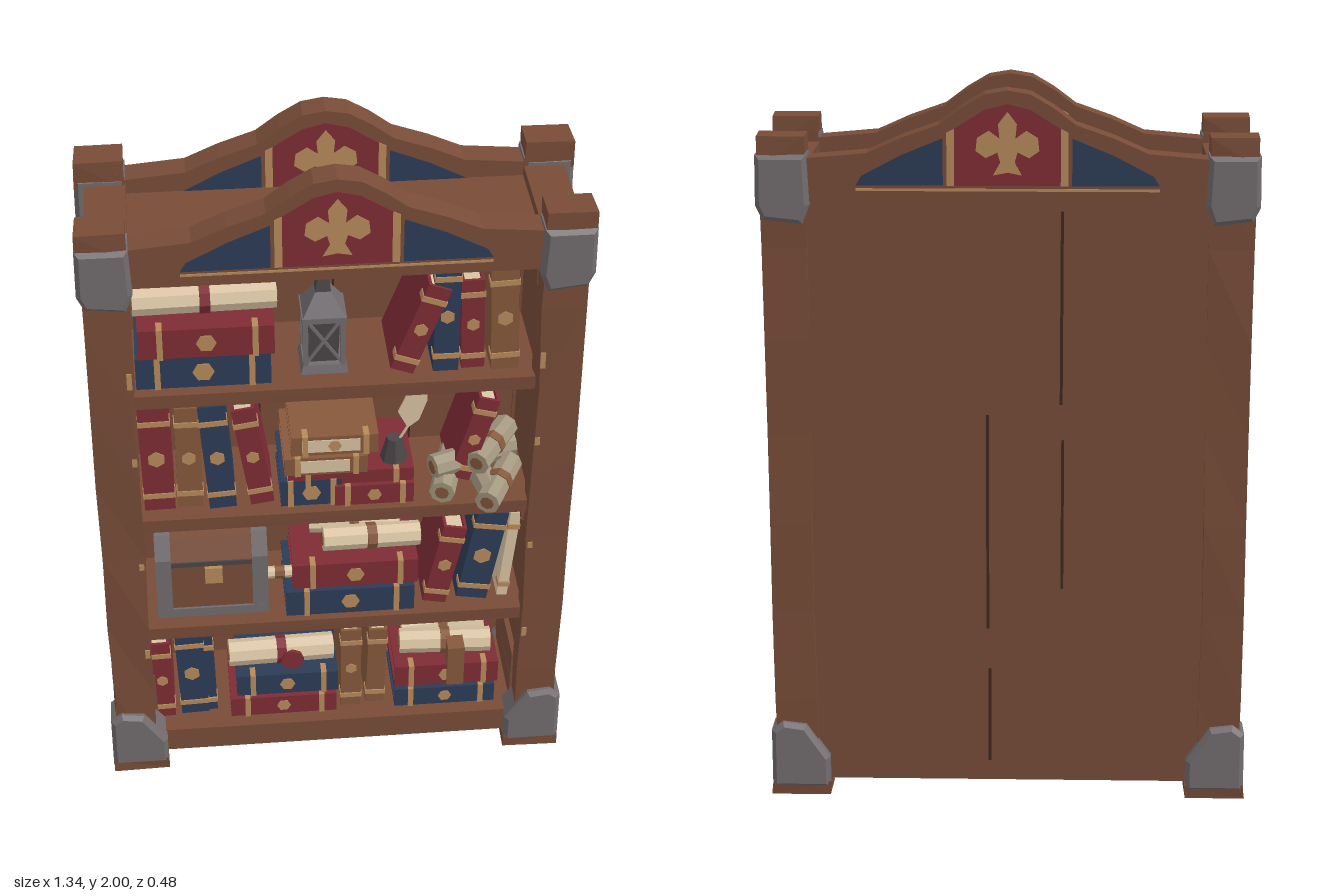
import * as THREE from 'three';

const mat = (name, color) => { const m = new THREE.MeshStandardMaterial({ color }); m.name = name; return m; };

export function createModel() {
  const wood = mat('wood', 0x784c38), darkWood = mat('dark wood', 0x3e271d), leather = mat('leather', 0x86593c);
  const red = mat('red', 0x7f2c35), blue = mat('blue', 0x2c3c56), gold = mat('gold', 0xb78a5b);
  const cream = mat('cream', 0xd9c4a3), aged = mat('aged paper', 0xa3977f);
  const metal = mat('metal', 0x726c6f), iron = mat('iron', 0x4b4647);
  const root = new THREE.Group();
  root.name = 'bookcase';

  // helpers
  const group = (name, parent = root) => { const g = new THREE.Group(); g.name = name; parent.add(g); return g; };
  const flat = (g) => { const f = g.index ? g.toNonIndexed() : g; f.computeVertexNormals(); return f; };
  const add = (p, name, geo, m, x = 0, y = 0, z = 0, rz = 0) => {
    const mesh = new THREE.Mesh(geo, m);
    mesh.name = name; mesh.position.set(x, y, z); mesh.rotation.z = rz;
    p.add(mesh);
    return mesh;
  };
  const box = (p, name, m, w, h, d, x, y, z, rz) => add(p, name, new THREE.BoxGeometry(w, h, d), m, x, y, z, rz);
  const span = (p, name, m, x0, x1, y0, y1, z0, z1) =>
    box(p, name, m, x1 - x0, y1 - y0, z1 - z0, (x0 + x1) / 2, (y0 + y1) / 2, (z0 + z1) / 2);
  const shape = (pts) => new THREE.Shape(pts.map(([x, y]) => new THREE.Vector2(x, y)));
  const plate = (pts, depth = 0.004) => new THREE.ExtrudeGeometry(shape(pts), { depth, bevelEnabled: false });
  const mirrored = (pts) => [...pts, ...pts.slice().reverse().filter(([x]) => x !== 0).map(([x, y]) => [-x, y])];

  // hand-hewn beam: each vertex is nudged by a hash of its position
  const hewn = (p, name, m, x0, x1, y0, y1, z0, z1, amt = 0.004) => {
    const g = new THREE.BoxGeometry(x1 - x0, y1 - y0, z1 - z0, 1, Math.ceil((y1 - y0) / 0.3), 1);
    const a = g.attributes.position;
    const hash = (x, y, z, k) => { const s = Math.sin(x * 91.7 + y * 47.3 + z * 71.9 + k + x0 * 13) * 4375.5; return (s - Math.floor(s) - 0.5) * 2 * amt; };
    for (let i = 0; i < a.count; i++) {
      const x = a.getX(i), y = a.getY(i), z = a.getZ(i);
      a.setXYZ(i, x + hash(x, y, z, 1), y, z + hash(x, y, z, 2));
    }
    return add(p, name, flat(g), m, (x0 + x1) / 2, (y0 + y1) / 2, (z0 + z1) / 2);
  };

  // carcass
  const frame = group('frame');
  span(frame, 'topBoard', wood, -0.56, 0.56, 1.71, 1.78, -0.2, 0.185);
  span(frame, 'base', wood, -0.6, 0.6, 0.04, 0.12, -0.2, 0.195);
  span(frame, 'backPanel', wood, -0.56, 0.56, 0.1, 1.75, -0.2, -0.14);
  for (const y of [0.51, 0.912, 1.34]) hewn(frame, 'shelf', wood, -0.56, 0.56, y - 0.042, y, -0.15, 0.175, 0.003);
  for (const [x, y0, y1] of [[0.05, 0.1, 0.38], [0.055, 0.5, 1.12], [-0.15, 0.62, 1.05], [-0.145, 1.15, 1.68]])
    span(frame, 'plankGap', darkWood, x - 0.004, x + 0.004, y0, y1, -0.203, -0.199);
  for (const x of [-0.19, 0.02, 0.24]) span(frame, 'innerPlankGap', darkWood, x - 0.003, x + 0.003, 0.12, 1.7, -0.141, -0.138);

  // painted flower emblem, unit height about its centre
  const flower = mirrored([[0, 0.5], [0.13, 0.33], [0.11, 0.13], [0.26, 0.24], [0.42, 0.14], [0.44, -0.04], [0.3, -0.14],
    [0.14, -0.06], [0.1, -0.2], [0.2, -0.38], [0, -0.34]]);
  const emblem = (s) => plate(flower.map(([x, y]) => [x * s, y * s]), 0.003);

  // side walls, built on +x and mirrored
  const panels = [
    { y0: 0.91, y1: 1.61, tip: 1.31, inner: -0.085, hi: 1.535, lo: 0.985 },
    { y0: 0.29, y1: 0.81, tip: 0.59, inner: -0.07, hi: 0.76, lo: 0.38 },
  ];
  for (const s of [1, -1]) {
    const side = group(s > 0 ? 'leftSide' : 'rightSide');
    side.scale.x = s;
    span(side, 'wall', wood, 0.545, 0.612, 0.1, 1.75, -0.2, 0.18);
    for (const [y0, y1] of [[0.05, 0.2], [0.2, 0.29], [0.81, 0.91], [1.61, 1.69], [1.69, 1.81]])
      hewn(side, 'rail', wood, 0.53, y1 - y0 > 0.11 ? 0.637 : 0.63, y0, y1, -0.14, 0.14, 0.002);
    for (const p of panels) {
      const paint = (name, m, pts, x) => add(side, name, plate(pts).rotateY(Math.PI / 2), m, x);
      paint('bluePanel', blue, [[-0.13, p.y0], [0.13, p.y0], [0.13, p.y1], [-0.13, p.y1]], 0.611);
      paint('redPanel', red, [[0.13, p.hi], [p.inner, p.tip], [0.13, p.lo]], 0.613);
      paint('goldBand', gold, [[-0.13, p.tip + 0.03], [0.11, p.y1], [0.13, p.y1], [0.13, p.hi], [p.inner, p.tip],
        [0.13, p.lo], [0.13, p.y0], [0.115, p.y0], [-0.13, p.tip - 0.03]], 0.615);
    }
    add(side, 'sideEmblem', emblem(0.19).rotateY(Math.PI / 2), gold, 0.617, 1.27, -0.02);

    // posts with metal corner guards, wooden caps and feet
    for (const f of [1, -1]) {
      const z = (a, b) => (f > 0 ? [a, b] : [-b, -a]);
      hewn(side, 'post', wood, 0.537, 0.652, 0.03, 1.84, ...z(0.13, 0.212), 0.005);
      hewn(side, 'postCap', wood, 0.53, 0.66, 1.8, 1.88, ...z(0.13, 0.222));
      hewn(side, 'foot', wood, 0.503, 0.667, 0, 0.04, ...z(0.128, 0.23));
      const guard = (name, pts) => {
        const g = new THREE.ExtrudeGeometry(shape(pts), { depth: 0.082, bevelSize: 0.012, bevelThickness: 0.012, bevelSegments: 1 });
        add(side, name, flat(g), metal, 0, 0, z(0.14, 0.222)[0]);
      };
      guard('topGuard', [[0.55, 1.66], [0.64, 1.67], [0.654, 1.7], [0.652, 1.82], [0.54, 1.82], [0.535, 1.7]]);
      guard('bottomGuard', [[0.515, 0.035], [0.655, 0.035], [0.654, 0.19], [0.63, 0.208], [0.575, 0.2], [0.515, 0.11]]);
    }
    for (const [y, h] of [[0.45, 0.03], [0.78, 0.02], [1.15, 0.025], [1.42, 0.05]])
      box(side, 'wornEdge', gold, 0.014, h, 0.004, 0.546, y, 0.215);
  }

  // arched crests, painted on both faces
  const crestOutline = mirrored([[0, 2], [0.06, 1.99], [0.12, 1.955], [0.18, 1.91], [0.28, 1.875], [0.37, 1.835], [0.54, 1.82], [0.54, 1.705]]);
  for (const [cz, name] of [[0.168, 'frontCrest'], [-0.173, 'backCrest']]) {
    const crest = group(name);
    crest.position.z = cz;
    add(crest, 'arch', plate(crestOutline, 0.076), wood, 0, 0, -0.038);
    for (const turn of [0, Math.PI]) {
      const face = group('crestPaint', crest);
      face.rotation.y = turn;
      add(face, 'redField', plate(mirrored([[0, 1.965], [0.06, 1.95], [0.14, 1.9], [0.14, 1.75]])), red, 0, 0, 0.036);
      for (const s of [1, -1]) {
        add(face, 'goldStripe', plate([[s * 0.14, 1.75], [s * 0.16, 1.75], [s * 0.16, 1.89], [s * 0.14, 1.9]]), gold, 0, 0, 0.037);
        add(face, 'blueField', plate([[s * 0.17, 1.75], [s * 0.4, 1.75], [s * 0.385, 1.775], [s * 0.28, 1.83], [s * 0.17, 1.875]]), blue, 0, 0, 0.036);
      }
      add(face, 'crestEmblem', emblem(0.19), gold, 0, 1.85, 0.039);
      span(face, 'goldTrim', gold, -0.4, 0.4, 1.735, 1.742, 0.036, 0.04);
    }
  }

  // books: spine faces +z, origin at the bottom centre
  const book = (name, m, w, h, d, x, y, z, rz, trim = gold) => {
    const b = group(name), t = Math.min(0.009, w * 0.15);
    b.position.set(x, y, z); b.rotation.z = rz;
    for (const s of [1, -1]) box(b, 'cover', m, t, h, d, s * (w - t) / 2, h / 2, 0);
    box(b, 'spine', m, w, h, t, 0, h / 2, d / 2);
    box(b, 'pages', cream, w - 2 * t, h - 0.02, d - 0.01, 0, h / 2, -0.003);
    for (const k of [0.14, 0.84]) box(b, 'band', trim, w + 0.005, 0.016, 0.04, 0, h * k, d / 2 - 0.012);
    if (w > 0.058) add(b, 'spineEmblem', new THREE.CylinderGeometry(w * 0.3, w * 0.3, 0.004, 6).rotateX(Math.PI / 2), trim, 0, h / 2, d / 2 + 0.006);
    return b;
  };
  // standing: centre x, shelf y, width, height, lean to the right
  const standing = [
    [red, 0.18, 1.34, 0.065, 0.28, 0.36], [blue, 0.3, 1.34, 0.068, 0.35, 0], [red, 0.375, 1.34, 0.062, 0.28, -0.03], [leather, 0.46, 1.34, 0.075, 0.33, -0.04],
    [red, -0.485, 0.912, 0.085, 0.355, -0.02], [leather, -0.4, 0.912, 0.07, 0.34, 0], [blue, -0.31, 0.912, 0.075, 0.35, -0.07], [red, -0.2, 0.912, 0.065, 0.33, -0.15], [red, 0.35, 0.95, 0.06, 0.28, 0.28],
    [red, 0.29, 0.51, 0.068, 0.28, 0.2], [blue, 0.4, 0.51, 0.09, 0.32, 0.17], [cream, 0.492, 0.51, 0.03, 0.31, 0.09],
    [red, -0.505, 0.12, 0.06, 0.29, -0.03], [blue, -0.415, 0.12, 0.082, 0.32, -0.04], [blue, -0.363, 0.12, 0.028, 0.3, -0.03], [leather, 0.05, 0.12, 0.06, 0.3, 0], [leather, 0.122, 0.12, 0.055, 0.29, 0.03],
  ];
  standing.forEach(([m, x, y, w, h, lean], i) =>
    book('standingBook', m, w, h, 0.22 - (i % 3) * 0.015, x, y + Math.abs(Math.sin(lean)) * w / 2, 0.02, -lean));
  // stacked flat: x range, y range
  const lying = [
    [blue, -0.53, -0.17, 1.342, 1.44], [red, -0.52, -0.16, 1.445, 1.535],
    [blue, -0.15, 0.02, 0.914, 1.0], [red, 0.0, 0.22, 0.914, 0.98], [red, -0.13, 0.22, 0.982, 1.025], [leather, -0.14, 0.09, 1.028, 1.085], [leather, -0.12, 0.12, 1.088, 1.15],
    [blue, -0.14, 0.23, 0.512, 0.6], [red, -0.12, 0.24, 0.605, 0.69],
    [red, -0.31, 0.005, 0.122, 0.19], [blue, -0.29, 0.01, 0.195, 0.27], [blue, 0.18, 0.48, 0.122, 0.188], [red, 0.18, 0.49, 0.192, 0.27],
  ];
  lying.forEach(([m, x0, x1, y0, y1], i) => {
    const b = book('stackedBook', m, y1 - y0, x1 - x0, 0.23, x1, (y0 + y1) / 2, 0.025 + (i % 2) * 0.01, Math.PI / 2);
    if (m === leather) span(b, 'foreEdge', cream, -0.02, 0.02, 0.05, x1 - x0 - 0.03, 0.115, 0.122);
  });

  // rolled scrolls tied with a band
  const scroll = (x, y, z, r, len, m, band, ry = 0, rz = 0) => {
    const g = group('scroll');
    g.position.set(x, y, z); g.rotation.set(0, ry, rz);
    const tube = (name, rad, l, mm) => add(g, name, flat(new THREE.CylinderGeometry(rad, rad, l, 8).rotateZ(Math.PI / 2)), mm);
    tube('roll', r, len, m); tube('rollCore', r * 0.55, len + 0.006, leather); tube('tie', r * 1.08, 0.028, band);
    return g;
  };
  scroll(-0.34, 1.578, 0.07, 0.04, 0.38, cream, red, 0.05, -0.02);
  scroll(-0.33, 1.57, -0.03, 0.034, 0.34, cream, red, -0.08);
  scroll(0.11, 0.735, 0.08, 0.036, 0.28, cream, leather, 0.06, -0.04);
  scroll(0.07, 0.72, 0, 0.03, 0.26, cream, leather, -0.1);
  scroll(-0.155, 0.635, 0.1, 0.018, 0.07, cream, leather);
  const sealed = scroll(-0.155, 0.315, 0.08, 0.04, 0.31, cream, red, 0.05, -0.02);
  add(sealed, 'waxSeal', new THREE.CylinderGeometry(0.034, 0.034, 0.012, 8).rotateX(Math.PI / 2), red, 0.03, -0.005, 0.045);
  scroll(0.335, 0.312, 0.08, 0.037, 0.27, cream, leather, -0.05);
  scroll(0.335, 0.305, 0, 0.034, 0.25, cream, leather, 0.08);
  span(root, 'strap', leather, 0.335, 0.385, 0.2, 0.345, 0.1, 0.158);
  // heap of old scrolls
  for (const [x, y, z, ry, len] of [[0.33, 0.952, 0.05, 1.3, 0.25], [0.41, 0.952, 0.06, 1.75, 0.26], [0.46, 0.955, 0.14, 1.1, 0.2],
    [0.37, 1.0, 0.08, 0.35, 0.2], [0.45, 1.02, 0.05, 1.0, 0.2], [0.47, 0.95, -0.03, 0.2, 0.12]])
    scroll(x, y, z, 0.036, len, aged, leather, ry);

  // lantern
  const lantern = group('lantern');
  lantern.position.set(-0.025, 1.34, 0.05);
  const frustum = (name, r0, r1, h, y, m) => add(lantern, name, flat(new THREE.CylinderGeometry(r1, r0, h, 4).rotateY(Math.PI / 4)), m, 0, y + h / 2, 0);
  frustum('lanternFoot', 0.09, 0.08, 0.025, 0, metal);
  frustum('glass', 0.055, 0.06, 0.14, 0.025, iron);
  frustum('lanternRim', 0.085, 0.085, 0.016, 0.16, metal);
  frustum('lanternRoof', 0.08, 0.03, 0.06, 0.176, metal);
  frustum('lanternCap', 0.03, 0.022, 0.035, 0.236, iron);
  for (let i = 0; i < 4; i++) {
    box(lantern, 'lanternPost', metal, 0.014, 0.145, 0.014, i & 1 ? 0.05 : -0.05, 0.095, i & 2 ? 0.05 : -0.05);
    if (i < 2) box(lantern, 'crossBar', metal, 0.008, 0.165, 0.006, 0, 0.095, 0.046, i ? 0.6 : -0.6);
  }
  add(lantern, 'ring', new THREE.TorusGeometry(0.028, 0.006, 4, 10), iron, 0, 0.29, 0);

  // treasure chest: the same arched section for the body and its bands
  const chest = group('chest');
  chest.position.set(-0.35, 0.512, 0.02);
  const arched = (name, m, x0, x1, k) => add(chest, name, plate(
    mirrored([[0, 0.28], [0.07, 0.262], [0.105, 0.2], [0.105, 0]]).map(([x, y]) => [x * k, y * k]), x1 - x0).rotateY(Math.PI / 2), m, x0);
  arched('chestBody', wood, -0.14, 0.14, 1);
  arched('chestBand', metal, -0.16, -0.115, 1.06);
  arched('chestBand', metal, 0.115, 0.16, 1.06);
  span(chest, 'lidSeam', iron, -0.115, 0.115, 0.185, 0.2, -0.108, 0.11);
  span(chest, 'chestRim', metal, -0.15, 0.15, 0, 0.03, -0.11, 0.112);
  span(chest, 'lock', gold, -0.02, 0.03, 0.13, 0.185, 0.105, 0.122);

  // inkwell and quill
  add(root, 'inkwell', flat(new THREE.CylinderGeometry(0.022, 0.04, 0.07, 7)), iron, 0.17, 1.06, 0.09);
  add(root, 'quill', plate([[0, 0], [0.01, 0.06], [-0.03, 0.1], [-0.025, 0.17], [0.01, 0.22], [0.035, 0.16], [0.035, 0.09], [0.016, 0.06], [0.006, 0]], 0.006),
    cream, 0.175, 1.08, 0.09, -0.32);

  return root;
}
